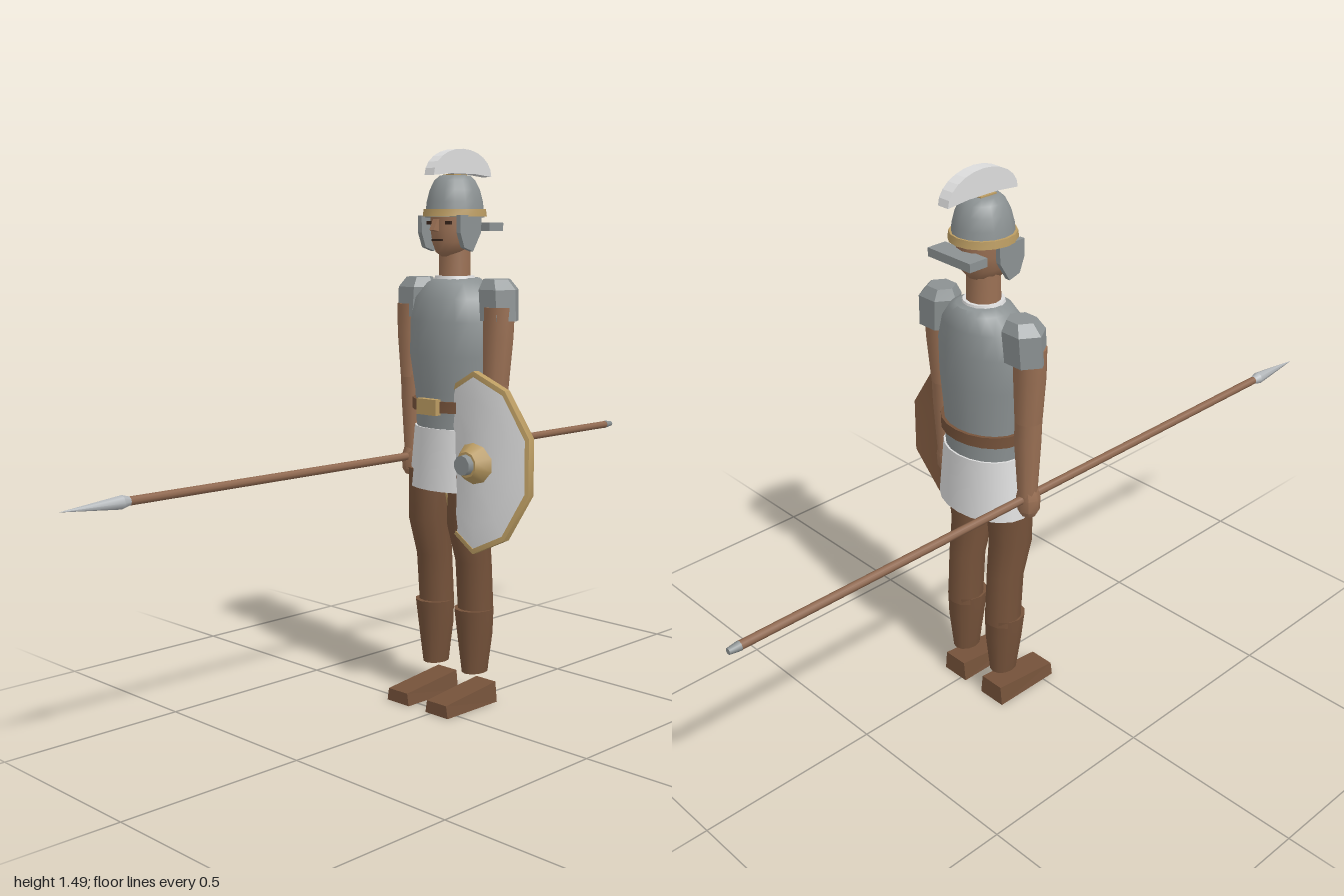
import * as THREE from 'three';
import { toCreasedNormals } from 'three/addons/utils/BufferGeometryUtils.js';

const paint = (name, color) => {
  const m = new THREE.MeshStandardMaterial({ color });
  m.name = name;
  return m;
};

export function createModel() {
  const steel = paint('steel grey', 0x8b9192);
  const blade = paint('bright steel', 0xb4b8bb);
  const cloth = paint('white cloth', 0xdcdcdc);
  const skin = paint('tan skin', 0x9a7054);
  const leather = paint('brown leather', 0x75523a);
  const wood = paint('shaft wood', 0x8f684f);
  const gold = paint('dull gold', 0xbb9c62);
  const dark = paint('dark brown', 0x38241a);

  const model = new THREE.Group();
  const body = new THREE.Group();
  body.name = 'soldier';
  body.position.set(-0.05, 0, -0.11);
  model.add(body);

  const add = (name, geo, mat, parent = body) => {
    const m = new THREE.Mesh(geo, mat);
    m.name = name;
    parent.add(m);
    return m;
  };

  // Stacked elliptical rings, top to bottom: [y, rx, rz, cx, cz]
  const loft = (rings, sides = 12, crease = 0.8, start = 0) => {
    const rows = rings.length - 1;
    const g = new THREE.CylinderGeometry(1, 1, 1, sides, rows, false, start);
    const p = g.attributes.position;
    for (let i = 0; i < p.count; i++) {
      const [y, rx, rz, cx = 0, cz = 0] = rings[Math.round((0.5 - p.getY(i)) * rows)];
      p.setXYZ(i, cx + p.getX(i) * rx, y, cz + p.getZ(i) * rz);
    }
    return toCreasedNormals(g, crease);
  };

  // Plate drawn in side view as [z, y] points, with a width along x
  const sidePlate = (pts, width, x = 0) => {
    const shape = new THREE.Shape(pts.map(([z, y]) => new THREE.Vector2(z, y)));
    return new THREE.ExtrudeGeometry(shape, { depth: width, bevelEnabled: false })
      .translate(0, 0, -width / 2).rotateY(-Math.PI / 2).translate(x, 0, 0);
  };
  const box = (w, h, d, x, y, z) => new THREE.BoxGeometry(w, h, d).translate(x, y, z);

  // Head and face
  add('neck', loft([[1.25, 0.042, 0.042], [1.13, 0.044, 0.044]]), skin);
  add('head', loft([[1.34, 0.06, 0.068], [1.28, 0.06, 0.07], [1.245, 0.052, 0.066, 0, 0.002],
    [1.22, 0.038, 0.052, 0, 0.008], [1.208, 0.022, 0.03, 0, 0.012]], 14), skin);
  add('nose', sidePlate([[0.06, 1.305], [0.074, 1.305], [0.088, 1.277], [0.06, 1.272]], 0.016), skin);
  add('mouth', box(0.036, 0.005, 0.008, 0, 1.251, 0.066), dark);
  for (const s of [-1, 1]) {
    add('eye', box(0.022, 0.009, 0.008, s * 0.031, 1.296, 0.059), dark).rotation.y = 0;
    add('cheekGuard', sidePlate([[0.06, 1.315], [-0.02, 1.315], [-0.018, 1.27], [0.012, 1.222],
      [0.045, 1.232], [0.06, 1.27]], 0.014, s * 0.07), steel);
  }

  // Helmet
  add('helmet', loft([[1.418, 0.038, 0.042], [1.405, 0.052, 0.056], [1.38, 0.064, 0.069],
    [1.35, 0.072, 0.076], [1.31, 0.076, 0.08]], 16), steel);
  add('helmetBrim', loft([[1.331, 0.081, 0.083], [1.312, 0.083, 0.086]], 16), gold);
  add('neckGuard', box(0.145, 0.022, 0.055, 0, 1.285, -0.083), steel);
  add('crestMount', box(0.04, 0.018, 0.05, 0, 1.412, 0), gold);
  const arc = [];
  for (let i = 0; i <= 12; i++) {
    const a = Math.PI * i / 12;
    arc.push([-0.014 + 0.11 * Math.cos(a), 1.417 + 0.07 * Math.sin(a)]);
  }
  add('crest', sidePlate([...arc, [-0.06, 1.423], [0.03, 1.423]], 0.034), cloth);

  // Torso, belt and skirt
  add('cuirass', loft([[1.152, 0.055, 0.062, 0, -0.012], [1.14, 0.08, 0.076, 0, -0.008],
    [1.1, 0.115, 0.09], [1.04, 0.132, 0.097, 0, 0.002], [0.95, 0.13, 0.1, 0, 0.004],
    [0.85, 0.117, 0.09], [0.75, 0.112, 0.088]], 20), steel);
  add('collar', loft([[1.158, 0.052, 0.052], [1.14, 0.058, 0.056]], 14), cloth);
  add('belt', loft([[0.832, 0.125, 0.098], [0.802, 0.125, 0.098]], 20), leather);
  add('buckle', box(0.07, 0.042, 0.02, 0, 0.817, 0.1), gold);
  add('skirt', loft([[0.758, 0.118, 0.093], [0.68, 0.128, 0.095], [0.592, 0.14, 0.097]], 20), cloth);

  for (const s of [-1, 1]) {
    // Arms
    add('shoulderGuard', loft([[1.152, 0.038, 0.036, s * 0.14, -0.01],
      [1.125, 0.058, 0.052, s * 0.147, -0.01], [1.045, 0.056, 0.05, s * 0.152, -0.008]],
    6, 0.1, Math.PI / 6), steel);
    add('upperArm', loft([[1.08, 0.042, 0.042, s * 0.158, 0], [1.0, 0.041, 0.04, s * 0.157, 0.002],
      [0.88, 0.034, 0.035, s * 0.152, 0.004]], 10), skin);
    add('forearm', loft([[0.89, 0.034, 0.035, s * 0.152, 0.004], [0.82, 0.034, 0.034, s * 0.15, 0.004],
      [0.67, 0.024, 0.026, s * 0.15, 0.005]], 10), skin);
    add('hand', loft([[0.685, 0.024, 0.026, s * 0.15, 0.006], [0.66, 0.032, 0.03, s * 0.15, 0.008],
      [0.625, 0.03, 0.028, s * 0.15, 0.008], [0.61, 0.022, 0.02, s * 0.15, 0.008]], 8), skin);

    // Legs
    const x = s * 0.073;
    add('thigh', loft([[0.64, 0.062, 0.064, x, 0.015], [0.5, 0.058, 0.058, s * 0.072, 0.022],
      [0.4, 0.05, 0.05, x, 0.002], [0.25, 0.05, 0.048, x, -0.008]], 12), leather);
    add('greave', loft([[0.268, 0.054, 0.055, x, 0], [0.2, 0.049, 0.05, x, -0.004],
      [0.09, 0.032, 0.04, x, -0.005]], 12), leather);
    const foot = sidePlate([[-0.05, 0], [0.145, 0], [0.145, 0.034], [-0.05, 0.056]], 0.082);
    const p = foot.attributes.position;
    for (let i = 0; i < p.count; i++) if (p.getY(i) > 0.01) p.setX(i, p.getX(i) * 0.86);
    foot.computeVertexNormals();
    add('foot', foot.translate(x, 0, 0), leather);
  }

  // Spear held level in the right hand
  const spear = new THREE.Group();
  spear.name = 'spear';
  spear.position.set(-0.2, 0.66, 0);
  spear.rotation.x = Math.PI / 2;
  model.add(spear);
  const rod = (top, bottom, y0, y1) =>
    new THREE.CylinderGeometry(top, bottom, y1 - y0, 8).translate(0, (y0 + y1) / 2, 0);
  add('shaft', rod(0.011, 0.011, -0.97, 0.84), wood, spear);
  add('spearHead', rod(0.0005, 0.017, 0.84, 1), blade, spear);
  add('spearSocket', rod(0.017, 0.011, 0.82, 0.84), blade, spear);
  add('spearButt', rod(0.012, 0.008, -1, -0.97), steel, spear);

  // Ten-sided shield, curved back toward its left and right edges
  const shield = new THREE.Group();
  shield.name = 'shield';
  shield.position.set(0.1, 0.681, -0.03);
  model.add(shield);
  const dish = (profile) => {
    const g = new THREE.LatheGeometry(profile.map(([r, y]) => new THREE.Vector2(r, y)), 10)
      .rotateX(Math.PI / 2).scale(0.157, 0.239, 1);
    const p = g.attributes.position;
    for (let i = 0; i < p.count; i++) p.setZ(i, p.getZ(i) - 2.1 * p.getX(i) ** 2);
    return toCreasedNormals(g, 0.5);
  };
  add('shieldFace', dish([[0.94, 0.008], [0.7, 0.008], [0.35, 0.008], [0, 0.008]]), cloth, shield);
  add('shieldRim', dish([[1, -0.01], [1, 0.01], [0.94, 0.01], [0.94, 0.006]]), gold, shield);
  add('shieldBack', dish([[0, -0.01], [0.35, -0.01], [0.7, -0.01], [1, -0.01]]), leather, shield);
  const boss = (r0, r1, z0, z1) => new THREE.CylinderGeometry(r1, r0, z1 - z0, 10)
    .rotateX(Math.PI / 2).translate(0, 0, (z0 + z1) / 2);
  add('bossBase', boss(0.06, 0.034, 0, 0.036), gold, shield);
  add('bossCap', boss(0.028, 0.026, 0.03, 0.053), steel, shield);
  add('shieldGrip', box(0.13, 0.026, 0.02, 0, -0.01, -0.045), leather, shield);
  for (const s of [-1, 1]) add('gripMount', box(0.014, 0.026, 0.04, s * 0.06, -0.01, -0.03), leather, shield);

  return model;
}
